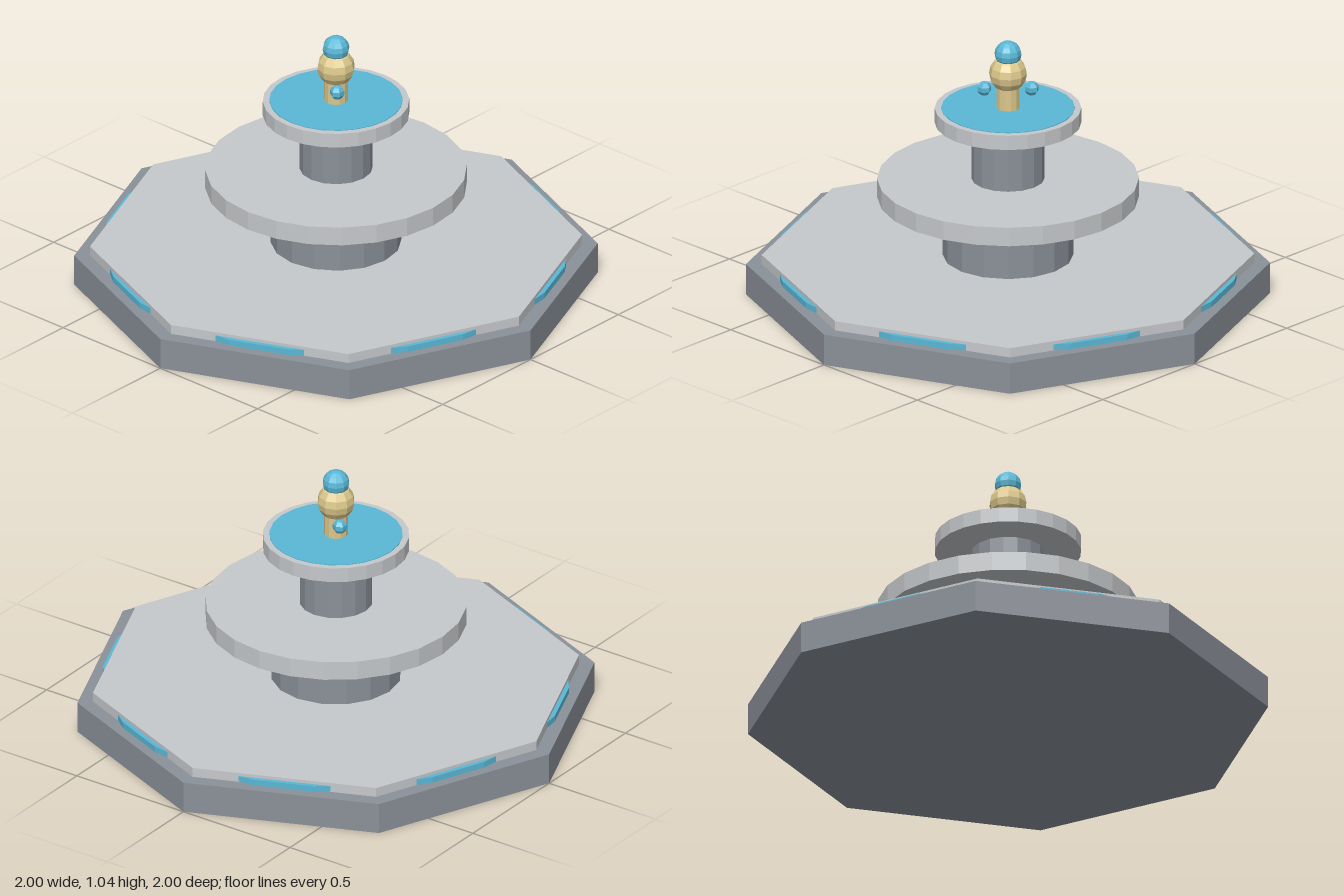
import * as THREE from 'three';

const material = (color) => new THREE.MeshStandardMaterial({ color, flatShading: true });

export function createModel() {
  const fountain = new THREE.Group();
  fountain.name = 'fountain';
  const darkStone = material(0x8b9199);
  const paleStone = material(0xc6c9cc);
  const water = material(0x5ab8d6);
  const gold = material(0xdcc88c);

  const add = (name, geometry, mat, x, y, z) => {
    const mesh = new THREE.Mesh(geometry, mat);
    mesh.name = name;
    mesh.position.set(x, y, z);
    fountain.add(mesh);
  };
  // Upright drum between two heights
  const drum = (name, radius, bottom, top, sides, mat) =>
    add(name, new THREE.CylinderGeometry(radius, radius, top - bottom, sides), mat, 0, (bottom + top) / 2, 0);

  // Octagonal basin, with the pool showing through its rim
  drum('base', 1, 0, 0.125, 8, darkStone);
  drum('basinSlab', 0.94, 0.125, 0.163, 8, paleStone);
  drum('lowerPool', 0.893, 0.126, 0.15, 24, water);

  // Stacked tiers
  drum('lowerColumn', 0.25, 0.163, 0.402, 16, darkStone);
  drum('middleBowl', 0.5, 0.402, 0.478, 24, paleStone);
  drum('upperColumn', 0.14, 0.478, 0.708, 16, darkStone);
  drum('upperBowl', 0.28, 0.708, 0.767, 24, paleStone);
  drum('upperPool', 0.255, 0.75, 0.77, 24, water);

  // Finial
  drum('finialStem', 0.046, 0.767, 0.87, 12, gold);
  add('finialBall', new THREE.SphereGeometry(0.073, 10, 8), gold, 0, 0.91, 0);
  add('waterBall', new THREE.SphereGeometry(0.052, 10, 8), water, 0, 0.99, 0);

  // Droplets on opposite sides of the stem
  for (const side of [-1, 1]) {
    add('droplet', new THREE.SphereGeometry(0.029, 6, 5), water, side * 0.064, 0.848, -side * 0.064);
  }
  return fountain;
}
